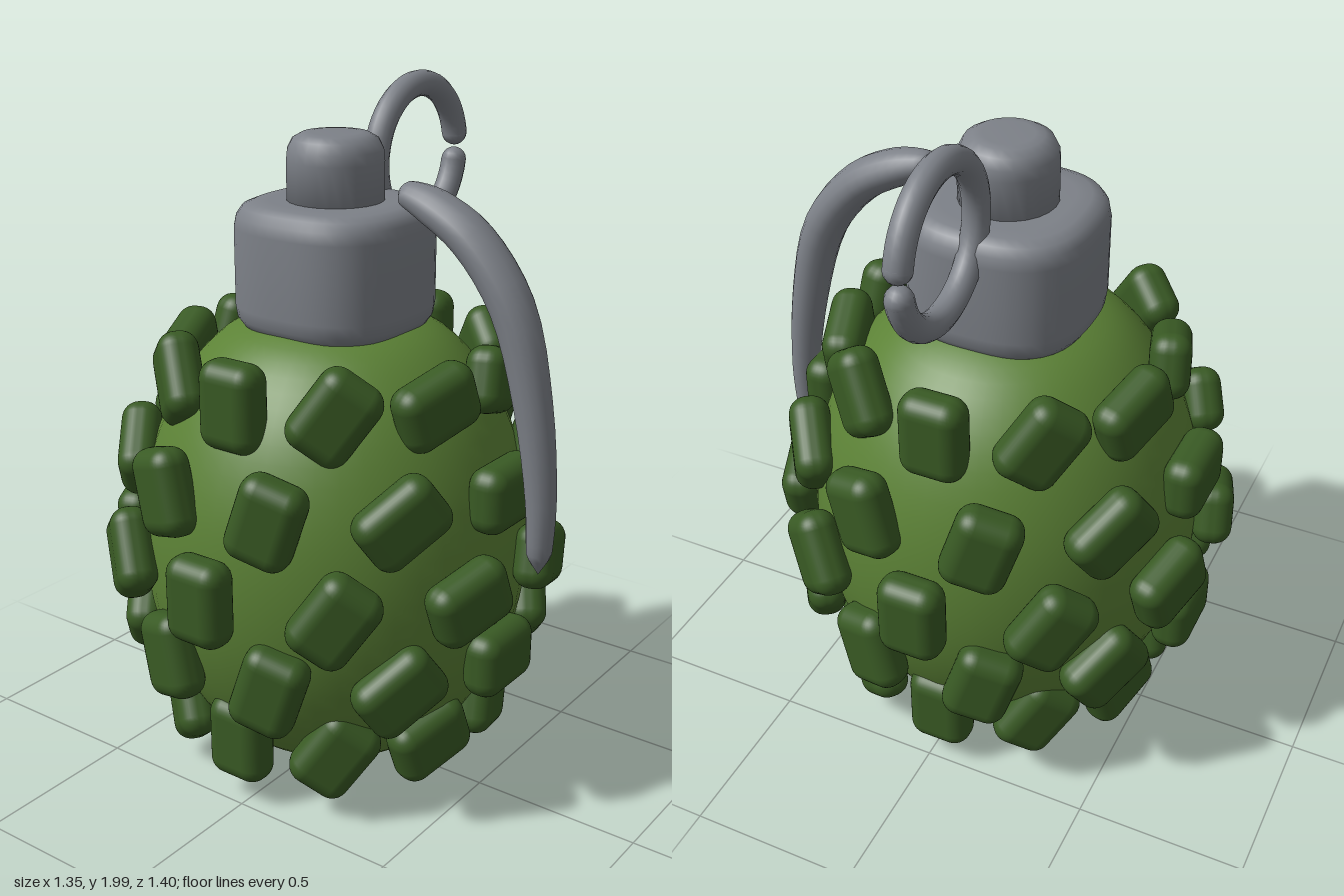
import * as THREE from 'three';
import { mergeVertices } from 'three/addons/utils/BufferGeometryUtils.js';
import { RoundedBoxGeometry } from 'three/addons/geometries/RoundedBoxGeometry.js';
import { ParametricGeometry } from 'three/addons/geometries/ParametricGeometry.js';

const AXIS_Z = -0.028;
const paint = (color) => new THREE.MeshStandardMaterial({ color });
const v2 = (list) => list.map(([x, y]) => new THREE.Vector2(x, y));

function part(parent, name, geometry, material) {
  const mesh = new THREE.Mesh(geometry, material);
  mesh.name = name;
  parent.add(mesh);
  return mesh;
}

// Lathe whose round section can be pushed towards a rounded square (power > 2)
function turned(profile, sides, power = 2) {
  const g = new THREE.LatheGeometry(v2(profile), sides);
  const p = g.attributes.position;
  for (let i = 0; i < p.count; i++) {
    const x = p.getX(i), z = p.getZ(i), r = Math.hypot(x, z);
    if (r < 1e-6) continue;
    const k = (Math.abs(x / r) ** power + Math.abs(z / r) ** power) ** (-1 / power);
    p.setX(i, x * k);
    p.setZ(i, z * k);
  }
  g.deleteAttribute('normal');
  g.deleteAttribute('uv');
  const merged = mergeVertices(g);
  merged.computeVertexNormals();
  return merged;
}

// Curved handle: elliptical sections swept along a spline in the YZ plane
function leverGeometry() {
  const axis = new THREE.CatmullRomCurve3([
    [1.735, 0.185], [1.733, 0.21], [1.705, 0.3], [1.635, 0.42], [1.475, 0.545],
    [1.22, 0.62], [0.95, 0.658], [0.8, 0.66], [0.735, 0.66],
  ].map(([y, z]) => new THREE.Vector3(0, y, z)));
  const size = new THREE.CatmullRomCurve3([
    [0, 0], [0.042, 0.035], [0.062, 0.052], [0.07, 0.058], [0.067, 0.06],
    [0.056, 0.053], [0.046, 0.042], [0.038, 0.035], [0, 0],
  ].map(([w, t]) => new THREE.Vector3(w, t, 0)));
  const g = new ParametricGeometry((u, v, out) => {
    const a = u * Math.PI * 2;
    const c = axis.getPoint(v), t = axis.getTangent(v), s = size.getPoint(v);
    const w = Math.max(s.x, 0.0005) * Math.cos(a), h = Math.max(s.y, 0.0005) * Math.sin(a);
    out.set(w, c.y + t.z * h, c.z - t.y * h);
  }, 16, 32);
  g.deleteAttribute('normal');
  g.deleteAttribute('uv');
  const merged = mergeVertices(g);
  merged.computeVertexNormals();
  return merged;
}

export function createModel() {
  const model = new THREE.Group();
  model.name = 'grenade';
  const green = paint(0x5c8236), darkGreen = paint(0x395a24), metal = paint(0x7d8188);

  const core = new THREE.Group();
  core.name = 'core';
  core.position.z = AXIS_Z;
  model.add(core);

  // Egg-shaped body
  const outline = new THREE.SplineCurve(v2([
    [0, 0.005], [0.17, 0.028], [0.31, 0.09], [0.42, 0.195], [0.5, 0.335], [0.555, 0.51], [0.573, 0.7],
    [0.555, 0.89], [0.5, 1.065], [0.42, 1.205], [0.31, 1.315], [0.17, 1.37], [0, 1.39],
  ])).getPoints(40).map((p) => [Math.max(p.x, 0), p.y]);
  outline[0][0] = outline[40][0] = 0;
  part(core, 'body', turned(outline, 48), green);

  // Five staggered rows of ten studs; each stud rolls with its angle round the body
  const studs = new THREE.Group();
  studs.name = 'studs';
  core.add(studs);
  const studGeometry = new RoundedBoxGeometry(0.25, 0.19, 0.118, 4, 0.052);
  const rows = [[0.2, 0.458], [0.45, 0.572], [0.7, 0.617], [0.95, 0.572], [1.21, 0.458]];
  rows.forEach(([y, radius], row) => {
    for (let i = 0; i < 10; i++) {
      const angle = ((i + (row % 2 ? 0 : 0.5)) / 10) * Math.PI * 2;
      const holder = new THREE.Group();
      holder.position.y = y;
      holder.rotation.y = angle;
      const stud = part(holder, 'stud', studGeometry, darkGreen);
      stud.position.z = radius;
      stud.rotation.z = -angle;
      studs.add(holder);
    }
  });

  // Rounded-square neck and round button
  part(core, 'neck', turned([
    [0, 1.335], [0.215, 1.335], [0.24, 1.342], [0.255, 1.365], [0.26, 1.4], [0.26, 1.5], [0.26, 1.62],
    [0.254, 1.652], [0.238, 1.676], [0.21, 1.688], [0.17, 1.69], [0, 1.69],
  ], 48, 2.7), metal);
  part(core, 'button', turned([
    [0, 1.66], [0.137, 1.66], [0.137, 1.8], [0.134, 1.83], [0.12, 1.858],
    [0.095, 1.872], [0.07, 1.875], [0, 1.875],
  ], 24), metal);

  // Split pull ring with rounded ends
  const ring = new THREE.Group();
  ring.name = 'pullRing';
  ring.position.set(0.403, 1.753, 0);
  core.add(ring);
  const R = 0.209, tube = 0.038, gap = 0.2;
  const hoop = part(ring, 'hoop', new THREE.TorusGeometry(R, tube, 14, 48, Math.PI * 2 - gap * 2), metal);
  hoop.rotation.z = gap;
  for (const side of [-1, 1]) {
    const end = part(ring, 'ringEnd', new THREE.SphereGeometry(tube, 14, 10), metal);
    end.position.set(R * Math.cos(gap), side * R * Math.sin(gap), 0);
  }

  // Safety lever at the front
  part(model, 'lever', leverGeometry(), metal);
  return model;
}
